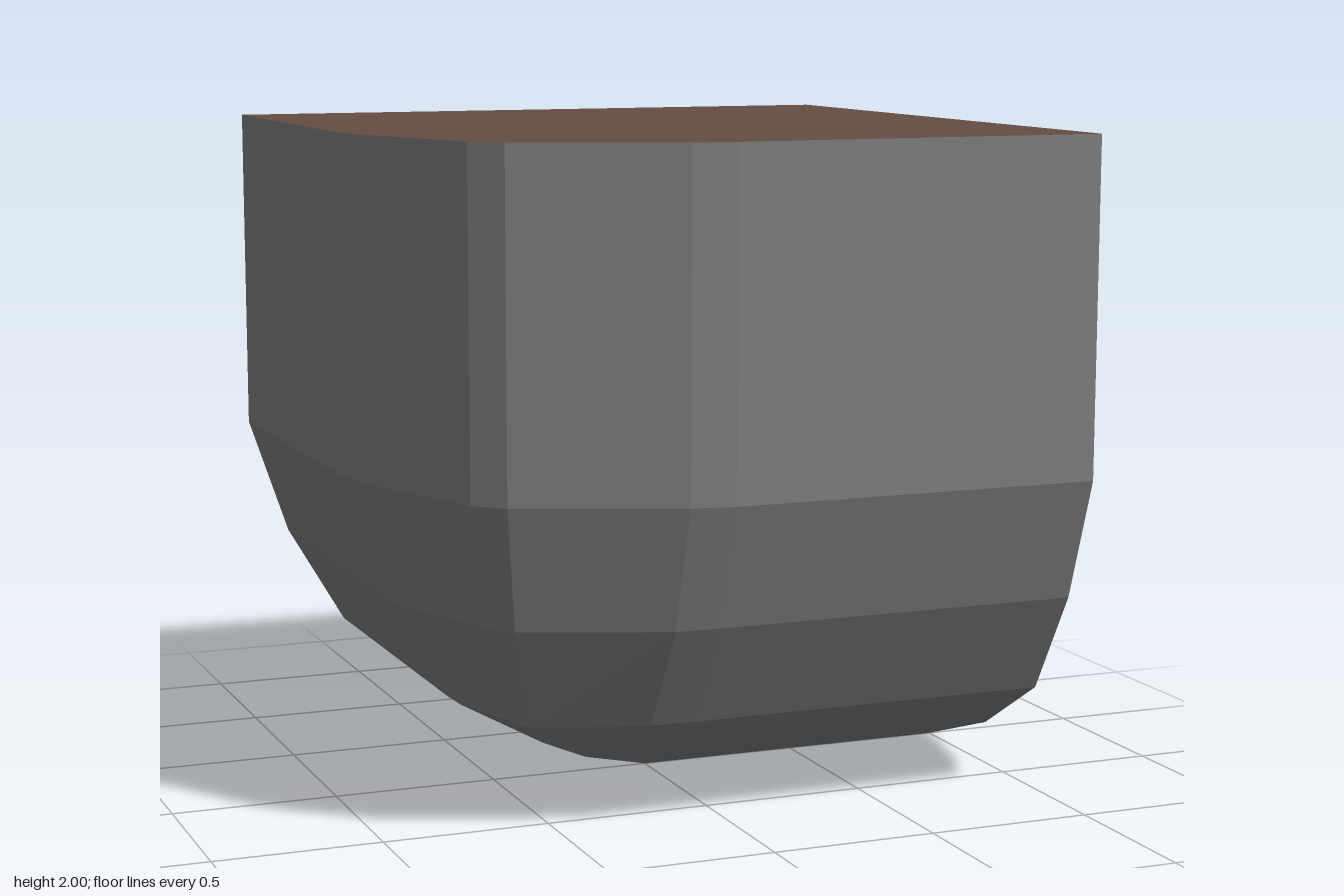
import * as THREE from 'three';

// Outline of the block at one height, counterclockwise from above.
// e: straight edge, (f, b): start of the bevel, (c, d): corner chamfer
function outline({ e, a, f, b, c, d }) {
  return [
    [1, -1], [-e, -1], [-e, a], [-f, b], [-c, d],
    [-d, c], [-b, f], [-a, e], [1, e],
  ];
}

// Cross-sections from the base up to the top
const levels = [
  { y: 0, e: 0, a: 0, f: 0, b: 0, c: 0, d: 0 },
  { y: 0.13, e: 0.38, a: 0.05, f: 0.375, b: 0.1, c: 0.31, d: 0.3 },
  { y: 0.315, e: 0.69, a: 0.12, f: 0.685, b: 0.25, c: 0.585, d: 0.57 },
  { y: 0.63, e: 0.875, a: 0.12, f: 0.87, b: 0.25, c: 0.71, d: 0.67 },
  { y: 1, e: 1, a: 0.12, f: 0.98, b: 0.25, c: 0.8, d: 0.72 },
  { y: 2, e: 1, a: 0.12, f: 0.98, b: 0.25, c: 0.8, d: 0.72 },
];

// Flat-faced skin joining neighbouring cross-sections
function skin() {
  const rings = levels.map((l) => outline(l).map(([x, z]) => new THREE.Vector3(x, l.y, z)));
  const points = [];
  const addTriangle = (p, q, r) => {
    if (new THREE.Triangle(p, q, r).getArea() > 1e-6) points.push(p, q, r);
  };
  for (let i = 0; i < rings.length - 1; i++) {
    const low = rings[i], high = rings[i + 1];
    for (let j = 0; j < low.length; j++) {
      const k = (j + 1) % low.length;
      addTriangle(low[j], low[k], high[k]);
      addTriangle(low[j], high[k], high[j]);
    }
  }
  const geometry = new THREE.BufferGeometry().setFromPoints(points);
  geometry.computeVertexNormals();
  return geometry;
}

export function createModel() {
  const stoneGrey = new THREE.MeshStandardMaterial({ color: 0x808080 });
  const earthBrown = new THREE.MeshStandardMaterial({ color: 0x654e43 });
  const paleBeige = new THREE.MeshStandardMaterial({ color: 0xb5a899 });

  const group = new THREE.Group();
  group.name = 'roundedCornerBlock';
  const add = (name, geometry, material) => {
    const mesh = new THREE.Mesh(geometry, material);
    mesh.name = name;
    group.add(mesh);
    return mesh;
  };

  // Walls and curved underside
  add('walls', skin(), stoneGrey);

  // Top face
  const topShape = new THREE.Shape(
    outline(levels[levels.length - 1]).map(([x, z]) => new THREE.Vector2(x, -z)));
  add('topFace', new THREE.ShapeGeometry(topShape).rotateX(-Math.PI / 2), earthBrown).position.y = 2;

  // Square base face
  add('baseFace', new THREE.PlaneGeometry(1, 1).rotateX(Math.PI / 2), paleBeige)
    .position.set(0.5, 0, -0.5);

  return group;
}
